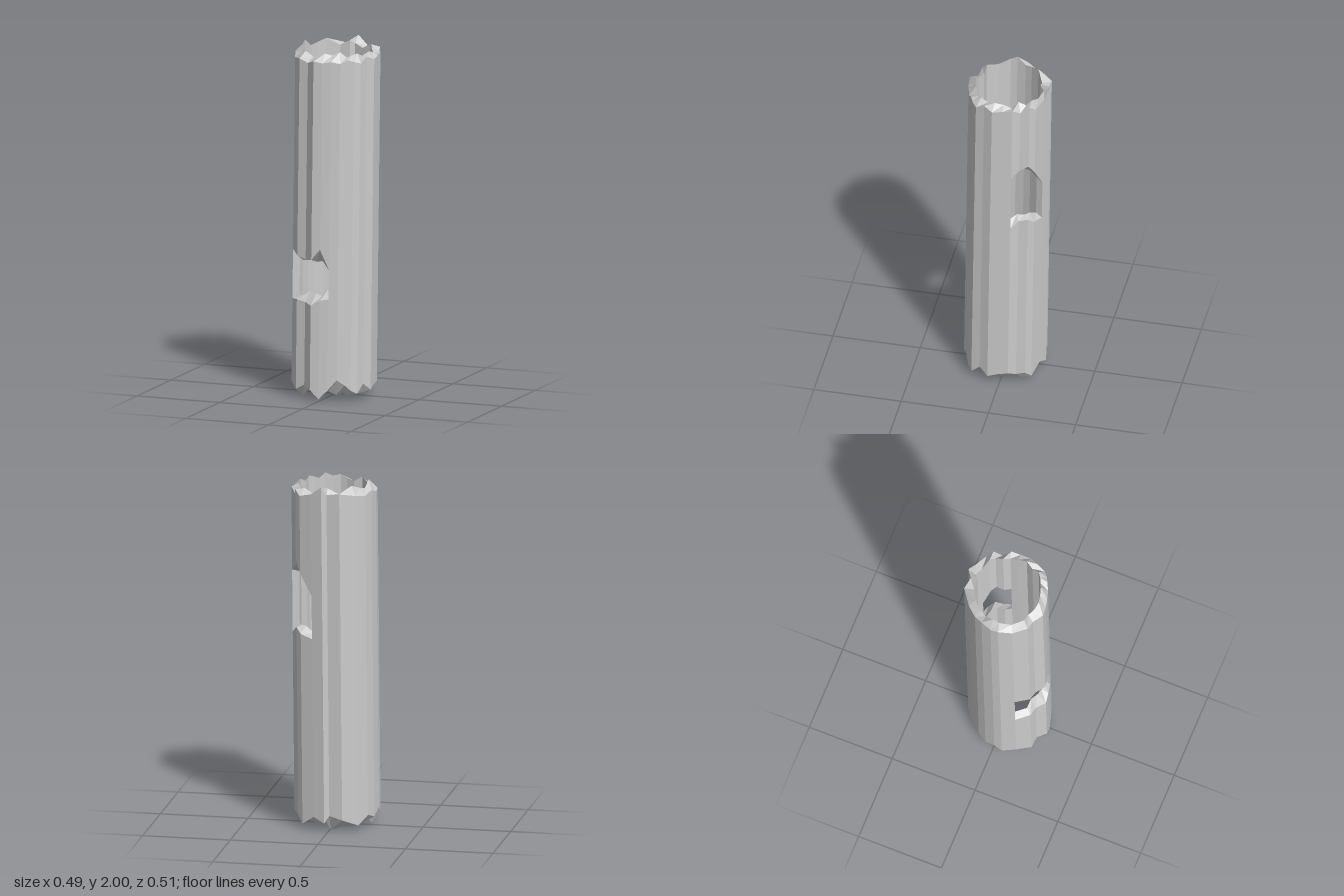
import * as THREE from 'three';

// Outline of the trunk, ordered from +x towards +z: [x, z]
const outline = [
  [.235, -.01], [.24, .05], [.215, .10], [.20, .15], [.17, .175], [.14, .19], [.10, .21],
  [.05, .225], [0, .235], [-.05, .24], [-.10, .20], [-.155, .19], [-.21, .12], [-.24, .045],
  [-.24, 0], [-.225, -.06], [-.20, -.11], [-.155, -.165], [-.075, -.225], [0, -.215],
  [.025, -.24], [.09, -.215], [.16, -.185], [.19, -.155], [.20, -.105], [.23, -.065],
];
const N = outline.length;

// Jagged rim heights per column, in hundredths: outer and inner edge
const topOut = [194, 193, 195, 192, 193, 194, 192, 193, 192, 193, 191, 193, 192, 194, 193, 195, 193, 194, 196, 195, 200, 195, 193, 196, 192, 195];
const topIn = [196, 197, 195, 197, 196, 195, 198, 196, 197, 195, 194, 197, 195, 198, 200, 196, 197, 199, 195, 198, 196, 194, 197, 195, 197, 194];
const botOut = [7, 5, 9, 4, 6, 9, 12, 6, 1, 6, 8, 5, 8, 6, 10, 6, 8, 3, 7, 9, 5, 8, 3, 7, 6, 8];
const botIn = [3, 6, 4, 7, 3, 5, 4, 6, 5, 3, 6, 2, 4, 5, 2, 5, 4, 6, 3, 1, 6, 4, 6, 2, 5, 4];

// Knot holes: first column, then [lower outer, lower inner, upper outer, upper inner] per column
const holes = [
  { start: 7, edge: [[.58, .64, .75, .73], [.57, .59, .86, .79], [.54, .60, .80, .78], [.55, .61, .79, .80], [.56, .58, .81, .78], [.55, .57, .83, .80]] },
  { start: 21, edge: [[1.11, 1.13, 1.36, 1.40], [1.13, 1.17, 1.48, 1.47], [1.16, 1.17, 1.54, 1.50], [1.15, 1.17, 1.51, 1.48], [1.11, 1.15, 1.47, 1.46]] },
];

// Point on a column; the trunk leans slightly with height
function point(i, y, inner) {
  const [x, z] = outline[i];
  const wall = i === 9 || i === 18 ? .055 : .04;
  const s = inner ? 1 - wall / Math.hypot(x, z) : 1;
  return [x * s + (y - 1) * .006, y, z * s - (y - 1) * .015];
}

function makeMesh(name, positions) {
  const geometry = new THREE.BufferGeometry();
  geometry.setAttribute('position', new THREE.Float32BufferAttribute(positions, 3));
  geometry.computeVertexNormals();
  const mesh = new THREE.Mesh(geometry, new THREE.MeshStandardMaterial({ color: 0xcccccc, flatShading: true }));
  mesh.name = name;
  return mesh;
}

export function createModel() {
  const bark = [], innerWall = [], rims = [], holeEdges = [];
  const quad = (list, a, b, c, d) => list.push(...a, ...b, ...c, ...a, ...c, ...d);
  // Outer and inner point of one broken edge
  const pair = (i, out, inn) => ({ o: point(i, out, false), n: point(i, inn, true) });
  const bottom = (i) => pair(i, botOut[i] / 100, botIn[i] / 100 - .01);
  const top = (i) => pair(i, topOut[i] / 100, topIn[i] / 100);

  // One stretch of wall between two columns, with its upper and lower edges
  function wall(iLo, iHi, jLo, jHi, lowList, highList) {
    quad(bark, iLo.o, iHi.o, jHi.o, jLo.o);
    quad(innerWall, jLo.n, jHi.n, iHi.n, iLo.n);
    quad(highList, iHi.n, jHi.n, jHi.o, iHi.o);
    quad(lowList, iLo.o, jLo.o, jLo.n, iLo.n);
  }

  for (let i = 0; i < N; i++) {
    const j = (i + 1) % N;
    const hole = holes.find((h) => i >= h.start && i < h.start + h.edge.length - 1);
    if (!hole) {
      wall(bottom(i), top(i), bottom(j), top(j), rims, rims);
      continue;
    }
    const a = hole.edge[i - hole.start], b = hole.edge[i - hole.start + 1];
    wall(bottom(i), pair(i, a[0], a[1]), bottom(j), pair(j, b[0], b[1]), rims, holeEdges);
    wall(pair(i, a[2], a[3]), top(i), pair(j, b[2], b[3]), top(j), holeEdges, rims);
  }

  // Side walls of the knot holes
  for (const { start, edge } of holes) {
    const end = start + edge.length - 1;
    const first = edge[0], last = edge[edge.length - 1];
    const s0 = pair(start, first[0], first[1]), s1 = pair(start, first[2], first[3]);
    const e0 = pair(end, last[0], last[1]), e1 = pair(end, last[2], last[3]);
    quad(holeEdges, s0.n, s0.o, s1.o, s1.n);
    quad(holeEdges, e1.n, e1.o, e0.o, e0.n);
  }

  const group = new THREE.Group();
  group.name = 'hollowLog';
  group.add(
    makeMesh('bark', bark),
    makeMesh('innerWall', innerWall),
    makeMesh('brokenRims', rims),
    makeMesh('knotHoleEdges', holeEdges),
  );
  return group;
}
